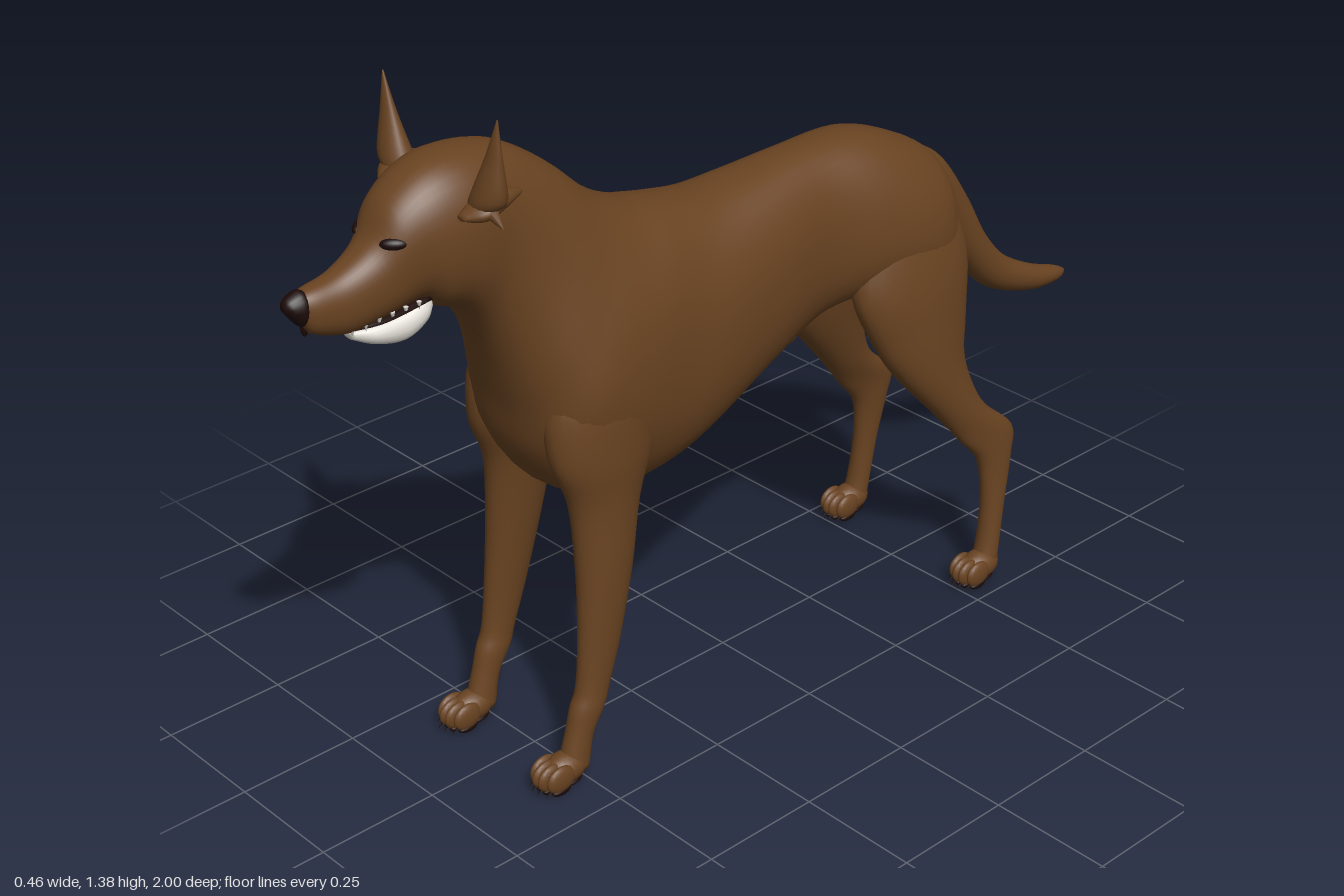
import * as THREE from 'three';

const mat = (name, color) => {
  const m = new THREE.MeshStandardMaterial({ color });
  m.name = name;
  return m;
};

// Catmull-Rom blend between section rows
function resample(rows, steps) {
  const out = [];
  for (let i = 0; i < rows.length - 1; i++) {
    const a = rows[Math.max(i - 1, 0)], b = rows[i], c = rows[i + 1], d = rows[Math.min(i + 2, rows.length - 1)];
    for (let s = 0; s < steps; s++) {
      const t = s / steps;
      out.push(b.map((v, k) => v + 0.5 * t * (c[k] - a[k] + t * (2 * a[k] - 5 * v + 4 * c[k] - d[k] + t * (3 * (v - c[k]) + d[k] - a[k])))));
    }
  }
  out.push(rows[rows.length - 1]);
  return out;
}

// Smooth skin over oval sections: [z1, y1, z2, y2, half width, centre x, egg]
// (z1, y1) is the top of the oval on the body, or its back on a leg.
// Egg narrows the top of the oval; a power below 1 makes it squarer.
function loft(rows, side = 1, sides = 28, power = 1) {
  const rings = resample(rows, 5), pos = [], idx = [];
  const bend = (v) => Math.sign(v) * Math.abs(v) ** power;
  for (const [z1, y1, z2, y2, w, x, egg = 0] of rings) {
    for (let j = 0; j < sides; j++) {
      const a = (j / sides) * Math.PI * 2, c = bend(Math.cos(a)) / 2;
      pos.push(x * side + bend(Math.sin(a)) * w * (1 - egg * c), (y1 + y2) / 2 + c * (y1 - y2), (z1 + z2) / 2 + c * (z1 - z2));
    }
  }
  for (let i = 0; i < rings.length - 1; i++) {
    for (let j = 0; j < sides; j++) {
      const k = (j + 1) % sides, p = i * sides, q = p + sides;
      idx.push(p + j, p + k, q + j, p + k, q + k, q + j);
    }
  }
  // end caps
  [0, rings.length - 1].forEach((r) => {
    const [z1, y1, z2, y2, , x] = rings[r], centre = pos.length / 3;
    pos.push(x * side, (y1 + y2) / 2, (z1 + z2) / 2);
    for (let j = 0; j < sides; j++) {
      const a = r * sides + j, b = r * sides + (j + 1) % sides;
      if (r === 0) idx.push(centre, b, a);
      else idx.push(centre, a, b);
    }
  });
  const g = new THREE.BufferGeometry();
  g.setAttribute('position', new THREE.Float32BufferAttribute(pos, 3));
  g.setIndex(idx);
  g.computeVertexNormals();
  return g;
}

export function createModel() {
  const dog = new THREE.Group();
  dog.name = 'dog';
  const fur = mat('brown fur', 0x694321);
  const dark = mat('dark nose and pads', 0x1c0a08);
  const white = mat('white jaw', 0xdcd8d0);

  const add = (name, geo, m, parent = dog) => {
    const mesh = new THREE.Mesh(geo, m);
    mesh.name = name;
    parent.add(mesh);
    return mesh;
  };
  const blob = (name, m, p, s, parent = dog) => {
    const mesh = add(name, new THREE.SphereGeometry(1, 18, 12), m, parent);
    mesh.position.set(...p);
    mesh.scale.set(...s);
    return mesh;
  };

  // muzzle and skull, then neck and torso, in one skin
  const head = [
    [0.982, 1.122, 0.962, 1.062, 0.018, 0.01, 0],
    [0.95, 1.13, 0.945, 1.045, 0.032, 0.01, 0],
    [0.89, 1.142, 0.88, 1.026, 0.043, 0.01, 0],
    [0.83, 1.178, 0.8, 1.036, 0.057, 0.01, 0],
    [0.79, 1.24, 0.74, 1.045, 0.077, 0.008, 0],
    [0.72, 1.283, 0.705, 1.02, 0.096, 0.006, 0],
    [0.64, 1.292, 0.66, 1.0, 0.106, 0.003, 0],
  ];
  const torso = [
    [0.54, 1.273, 0.615, 0.945, 0.104, 0, 0.05],
    [0.44, 1.21, 0.583, 0.87, 0.118, 0, 0.2],
    [0.35, 1.13, 0.555, 0.77, 0.148, 0, 0.35],
    [0.27, 1.085, 0.53, 0.66, 0.173, 0, 0.35],
    [0.2, 1.065, 0.46, 0.565, 0.177, 0, 0.2],
    [0.13, 1.05, 0.32, 0.52, 0.168, 0, 0.1],
    [0.06, 1.04, 0.17, 0.542, 0.16, 0.002, 0.05],
    [-0.05, 1.045, -0.02, 0.625, 0.138, 0.006, 0.05],
    [-0.18, 1.055, -0.18, 0.69, 0.116, 0.01, 0.1],
    [-0.32, 1.052, -0.3, 0.71, 0.138, 0.012, 0.3],
    [-0.43, 1.015, -0.42, 0.7, 0.147, 0.014, 0.35],
    [-0.52, 0.96, -0.5, 0.7, 0.125, 0.015, 0.35],
    [-0.555, 0.88, -0.545, 0.77, 0.065, 0.015, 0.2],
  ];
  add('headAndBody', loft([...head, ...torso], 1, 40, 0.88), fur);

  // tail
  add('tail', loft([
    [-0.42, 1.0, -0.44, 0.86, 0.05, 0.015],
    [-0.56, 0.938, -0.52, 0.85, 0.047, 0.015],
    [-0.65, 0.825, -0.575, 0.78, 0.044, 0.017],
    [-0.715, 0.715, -0.65, 0.665, 0.04, 0.02],
    [-0.79, 0.632, -0.74, 0.572, 0.036, 0.02],
    [-0.89, 0.575, -0.87, 0.52, 0.03, 0.02],
    [-0.97, 0.545, -0.965, 0.51, 0.018, 0.02],
    [-1.0, 0.528, -1.0, 0.52, 0.004, 0.02],
  ], 1, 20), fur);

  // lower jaw, mouth and nose
  add('lowerJaw', loft([
    [0.874, 1.026, 0.87, 1.008, 0.016, 0.008],
    [0.845, 1.034, 0.835, 0.992, 0.041, 0.008],
    [0.79, 1.046, 0.785, 0.982, 0.054, 0.008],
    [0.745, 1.058, 0.745, 1.0, 0.056, 0.008],
    [0.722, 1.054, 0.727, 1.02, 0.044, 0.008],
  ], 1, 20, 0.85), white);
  add('mouthInside', loft([
    [0.87, 1.038, 0.87, 1.026, 0.02, 0.01],
    [0.82, 1.046, 0.82, 1.034, 0.046, 0.01],
    [0.735, 1.064, 0.735, 1.05, 0.057, 0.01],
  ], 1, 16), dark);
  add('nose', loft([
    [0.998, 1.112, 0.996, 1.1, 0.008, 0.01],
    [0.99, 1.123, 0.98, 1.078, 0.02, 0.01],
    [0.965, 1.132, 0.966, 1.066, 0.026, 0.01],
    [0.95, 1.122, 0.955, 1.085, 0.02, 0.01],
  ], 1, 20), dark);
  blob('noseSeam', dark, [0.01, 1.064, 0.958], [0.007, 0.02, 0.008]);

  // sheath under the belly
  blob('bellyFold', fur, [0.01, 0.682, -0.115], [0.03, 0.035, 0.08]).rotation.x = -0.45;

  const frontLeg = [
    [0.3, 0.97, 0.43, 0.95, 0.03, 0.07],
    [0.255, 0.83, 0.52, 0.81, 0.068, 0.1],
    [0.29, 0.67, 0.53, 0.68, 0.063, 0.115],
    [0.335, 0.56, 0.492, 0.57, 0.05, 0.122],
    [0.365, 0.42, 0.487, 0.42, 0.041, 0.132],
    [0.4, 0.28, 0.495, 0.28, 0.031, 0.138],
    [0.43, 0.19, 0.505, 0.19, 0.027, 0.14],
    [0.445, 0.145, 0.52, 0.15, 0.028, 0.14],
    [0.475, 0.09, 0.533, 0.1, 0.025, 0.14],
    [0.487, 0.025, 0.555, 0.03, 0.027, 0.14],
  ];
  const hindLeg = [
    [-0.48, 0.95, -0.34, 0.97, 0.03, 0.06],
    [-0.537, 0.86, -0.28, 0.88, 0.06, 0.085],
    [-0.557, 0.76, -0.25, 0.74, 0.065, 0.112],
    [-0.542, 0.63, -0.29, 0.63, 0.058, 0.13],
    [-0.532, 0.53, -0.345, 0.54, 0.049, 0.144],
    [-0.575, 0.42, -0.45, 0.42, 0.036, 0.162],
    [-0.663, 0.335, -0.51, 0.345, 0.027, 0.174],
    [-0.657, 0.27, -0.562, 0.28, 0.025, 0.18],
    [-0.635, 0.18, -0.575, 0.18, 0.024, 0.186],
    [-0.617, 0.08, -0.565, 0.08, 0.025, 0.19],
    [-0.61, 0.025, -0.545, 0.025, 0.027, 0.192],
  ];

  // paw with four toes, claws and dark pads
  const paw = (name, x, z) => {
    const g = new THREE.Group();
    g.name = name;
    g.position.set(x, 0, z);
    dog.add(g);
    blob('pawBody', fur, [0, 0.036, -0.02], [0.032, 0.032, 0.048], g);
    blob('heelPad', dark, [0, 0.01, -0.02], [0.026, 0.01, 0.035], g);
    for (let i = 0; i < 4; i++) {
      const u = i - 1.5, f = 0.025 - Math.abs(u) * 0.009;
      blob('toe', fur, [u * 0.0165, 0.034, f], [0.0115, 0.028, 0.033], g);
      blob('toePad', dark, [u * 0.0165, 0.009, f], [0.009, 0.009, 0.022], g);
      const claw = add('claw', new THREE.ConeGeometry(0.004, 0.02, 6), dark, g);
      claw.position.set(u * 0.0165, 0.015, f + 0.03);
      claw.rotation.x = 2.1;
    }
  };

  for (const s of [1, -1]) {
    const label = s > 0 ? 'left' : 'right';
    add(label + 'FrontLeg', loft(frontLeg, s), fur);
    add(label + 'HindLeg', loft(hindLeg, s), fur);
    paw(label + 'FrontPaw', s * 0.14, 0.56);
    paw(label + 'HindPaw', s * 0.192, -0.547);

    // upright ear with a pointed fold and tuft at its base
    add(label + 'Ear', loft([
      [0.649, 1.385, 0.652, 1.385, 0.001, 0.154],
      [0.64, 1.315, 0.664, 1.315, 0.019, 0.143],
      [0.625, 1.24, 0.682, 1.24, 0.038, 0.127],
      [0.62, 1.215, 0.68, 1.215, 0.028, 0.11],
    ], s, 16), fur);
    add(label + 'EarFold', loft([
      [0.7, 1.215, 0.7, 1.205, 0.01, 0.11],
      [0.67, 1.235, 0.67, 1.2, 0.03, 0.12],
      [0.62, 1.242, 0.62, 1.208, 0.025, 0.115],
      [0.57, 1.225, 0.57, 1.217, 0.006, 0.107],
    ], s, 16), fur);
    const tip = add(label + 'EarTuft', new THREE.ConeGeometry(0.018, 0.055, 8), fur);
    tip.position.set(s * 0.15, 1.212, 0.66);
    tip.rotation.z = -s * 2.2;

    // long dark eye
    const eye = blob(label + 'Eye', dark, [0.01 + s * 0.047, 1.178, 0.802], [0.012, 0.011, 0.024]);
    eye.rotation.y = -s * 0.7;

    // upper teeth along the lip
    for (let i = 0; i < 6; i++) {
      const tooth = add('tooth', new THREE.ConeGeometry(0.005, 0.016, 6), white);
      tooth.position.set(0.01 + s * (0.024 + i * 0.0055), 1.032 + i * 0.004, 0.88 - i * 0.024);
      tooth.rotation.x = Math.PI;
    }
  }
  return dog;
}
